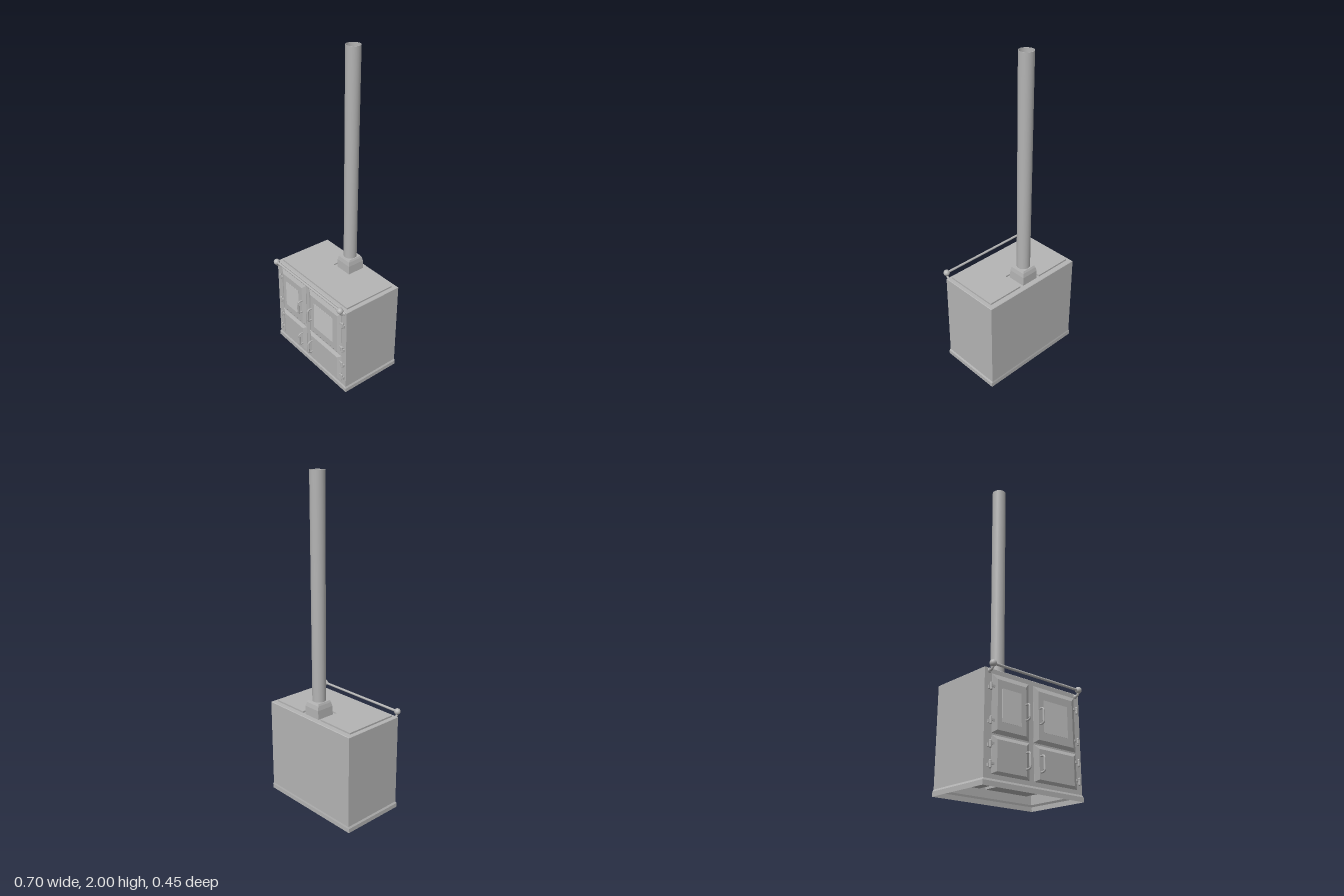
import * as THREE from 'three';

const iron = new THREE.MeshStandardMaterial({ color: 0xb4b4b4, side: THREE.DoubleSide });
iron.name = 'grey iron';
const glass = new THREE.MeshStandardMaterial({ color: 0xc8c8c8 });
glass.name = 'pale glass';

function add(parent, name, geometry, x = 0, y = 0, z = 0, material = iron) {
  const mesh = new THREE.Mesh(geometry, material);
  mesh.name = name;
  mesh.position.set(x, y, z);
  parent.add(mesh);
  return mesh;
}

// Flat-faced stack of rectangles [y, x0, x1, z0, z1], open below and capped on top
function loft(rings) {
  const corners = rings.map(([y, x0, x1, z0, z1]) => [[x0, y, z1], [x1, y, z1], [x1, y, z0], [x0, y, z0]]);
  const pos = [];
  const quad = (a, b, c, d) => pos.push(...a, ...b, ...c, ...a, ...c, ...d);
  for (let i = 0; i + 1 < corners.length; i++) {
    for (let k = 0; k < 4; k++) {
      const n = (k + 1) % 4;
      quad(corners[i][k], corners[i][n], corners[i + 1][n], corners[i + 1][k]);
    }
  }
  quad(...corners[corners.length - 1]);
  const g = new THREE.BufferGeometry();
  g.setAttribute('position', new THREE.Float32BufferAttribute(pos, 3));
  g.computeVertexNormals();
  return g;
}

// Raised door panel with bevelled edges, facing +z
function doorPanel(x0, x1, y0, y1, side, top, bottom) {
  return loft([
    [0.174, x0, x1, -y1, -y0],
    [0.179, x0, x1, -y1, -y0],
    [0.191, x0 + side, x1 - side, -y1 + top, -y0 - bottom],
  ]).rotateX(Math.PI / 2);
}

// D-shaped pull handle
function makeHandle(x, y) {
  const handle = new THREE.Group();
  handle.name = 'doorHandle';
  const path = new THREE.CatmullRomCurve3([
    [-0.042, 0.186], [-0.042, 0.208], [-0.034, 0.219], [0.034, 0.219], [0.042, 0.208], [0.042, 0.186],
  ].map(([py, pz]) => new THREE.Vector3(0, py, pz)), false, 'catmullrom', 0.2);
  add(handle, 'handleBar', new THREE.TubeGeometry(path, 24, 0.0055, 8));
  add(handle, 'handleGrip', new THREE.CylinderGeometry(0.0065, 0.0065, 0.06, 10), 0, 0, 0.219);
  handle.position.set(x, y, 0);
  return handle;
}

// Hinge: barrel, finials and a strap reaching toward the door
function makeHinge(x, y, inward) {
  const hinge = new THREE.Group();
  hinge.name = 'hinge';
  add(hinge, 'hingeBarrel', new THREE.CylinderGeometry(0.008, 0.008, 0.024, 10), 0, 0, 0.186);
  for (const s of [-1, 1]) add(hinge, 'hingeFinial', new THREE.SphereGeometry(0.007, 10, 8), 0, s * 0.015, 0.186);
  add(hinge, 'hingeStrap', new THREE.BoxGeometry(0.028, 0.012, 0.01), inward * 0.012, 0.004, 0.183);
  add(hinge, 'hingeLug', new THREE.BoxGeometry(0.014, 0.018, 0.012), -inward * 0.007, -0.006, 0.181);
  hinge.position.set(x, y, 0);
  return hinge;
}

export function createModel() {
  const stove = new THREE.Group();
  stove.name = 'stove';

  // Hollow cabinet with a flared plinth
  add(stove, 'cabinet', loft([
    [0, -0.349, 0.349, -0.225, 0.182],
    [0.026, -0.349, 0.349, -0.225, 0.182],
    [0.037, -0.343, 0.343, -0.223, 0.177],
    [0.598, -0.343, 0.343, -0.223, 0.177],
    [0.601, -0.34, 0.34, -0.22, 0.174],
  ]));

  // Hotplate, notched round the flue collar
  const plate = new THREE.Shape([
    [-0.318, -0.153], [0.318, -0.153], [0.318, 0.191], [0.08, 0.191],
    [0.08, 0.061], [-0.075, 0.061], [-0.075, 0.191], [-0.318, 0.191],
  ].map(([x, y]) => new THREE.Vector2(x, y)));
  add(stove, 'hotplate', new THREE.ExtrudeGeometry(plate, { depth: 0.011, bevelEnabled: false })
    .rotateX(-Math.PI / 2), 0, 0.6, 0);

  // Flue collar and open pipe
  add(stove, 'flueCollar', loft([
    [0, -0.057, 0.057, -0.057, 0.057],
    [0.055, -0.055, 0.055, -0.057, 0.055],
    [0.08, -0.05, 0.05, -0.051, 0.05],
    [0.092, -0.045, 0.045, -0.045, 0.045],
  ]), 0.001, 0.6, -0.133);
  add(stove, 'fluePipe', new THREE.CylinderGeometry(0.043, 0.0405, 1.312, 20, 1, true), 0.001, 1.344, -0.132);
  add(stove, 'pipeLip', new THREE.RingGeometry(0.04, 0.043, 20).rotateX(-Math.PI / 2), 0.001, 2, -0.132);

  // Doors, windows, handles and the ovens behind, one column per side
  const columns = [
    { x0: -0.295, x1: -0.043, win: [-0.238, -0.106], handle: -0.073, hinge: -0.308, inward: 1 },
    { x0: -0.01, x1: 0.302, win: [0.053, 0.233], handle: 0.027, hinge: 0.316, inward: -1 },
  ];
  for (const c of columns) {
    add(stove, 'upperDoor', doorPanel(c.x0, c.x1, 0.262, 0.572, 0.028, 0.027, 0.018));
    add(stove, 'lowerDoor', doorPanel(c.x0, c.x1, 0.06, 0.252, 0.028, 0.02, 0.014));
    add(stove, 'doorWindow', new THREE.BoxGeometry(c.win[1] - c.win[0], 0.178, 0.004),
      (c.win[0] + c.win[1]) / 2, 0.413, 0.1905, glass);
    for (const y of [0.407, 0.153]) stove.add(makeHandle(c.handle, y));
    for (const y of [0.5, 0.322, 0.204, 0.104]) stove.add(makeHinge(c.hinge, y, c.inward));
    add(stove, 'ovenBox', new THREE.BoxGeometry(c.x1 - c.x0 - 0.01, 0.47, 0.385),
      (c.x0 + c.x1) / 2, 0.315, -0.022);
  }

  // Towel rail with ball ends on curved brackets
  add(stove, 'rail', new THREE.CylinderGeometry(0.0075, 0.0075, 0.63, 12).rotateZ(Math.PI / 2), 0.003, 0.617, 0.205);
  for (const x of [-0.312, 0.318]) {
    add(stove, 'railBall', new THREE.SphereGeometry(0.0195, 20, 14), x, 0.617, 0.205);
    const bracket = new THREE.QuadraticBezierCurve3(
      new THREE.Vector3(0, 0.584, 0.174), new THREE.Vector3(0, 0.582, 0.203), new THREE.Vector3(0, 0.61, 0.205));
    add(stove, 'railBracket', new THREE.TubeGeometry(bracket, 10, 0.007, 8), x);
    add(stove, 'bracketFoot', new THREE.CylinderGeometry(0.009, 0.013, 0.008, 12).rotateX(Math.PI / 2), x, 0.584, 0.18);
  }
  return stove;
}
